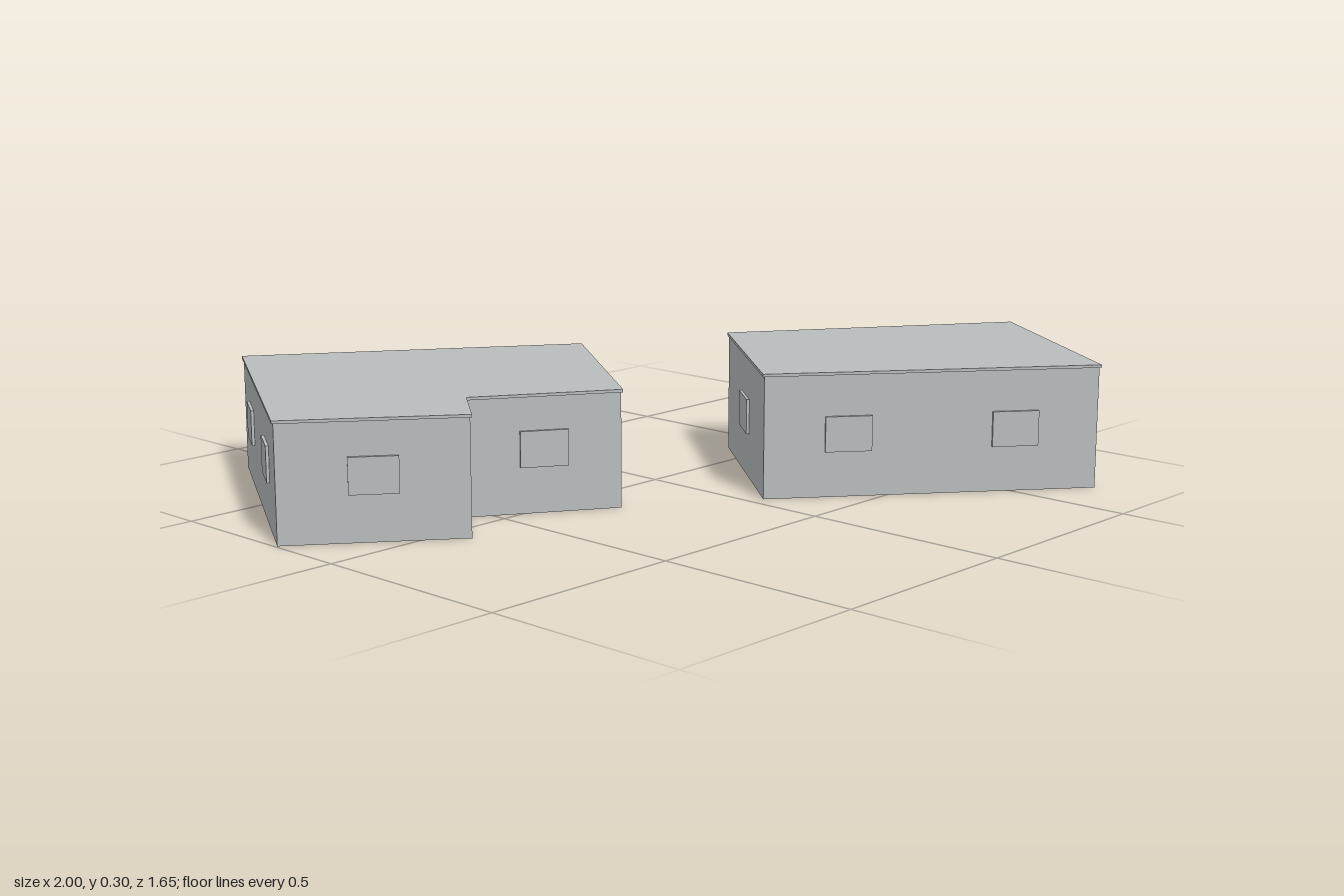
import * as THREE from 'three';

const grey = new THREE.MeshStandardMaterial({ color: 0xb8bcbc });
grey.name = 'plain grey';

const OVERHANG = 0.004, ROOF = 0.007;
const WIN_W = 0.112, WIN_H = 0.085, WIN_Y = 0.152, WIN_OUT = 0.007;

// Outlines as [x, z], with the window positions along the wall that starts at each corner
const houses = [
  {
    name: 'cornerHouse', height: 0.28,
    outline: [[-0.6, -0.83], [0.09, -0.34], [-0.245, 0.13], [-0.55, -0.065], [-0.66, 0.075], [-1, -0.19]],
    windows: [[0.25, 0.75], [0.5], [0.5], [], [0.5], [0.25, 0.75]],
  },
  {
    name: 'squareHouse', height: 0.3,
    outline: [[0.375, -0.1], [1, 0.335], [0.665, 0.825], [0.03, 0.315]],
    windows: [[0.25, 0.75], [0.5], [0.25, 0.75], [0.5]],
  },
];

// Flat prism standing on the given height
function prism(points, y, height, name) {
  const shape = new THREE.Shape(points.map(p => new THREE.Vector2(p.x, -p.y)));
  const geometry = new THREE.ExtrudeGeometry(shape, { depth: height, bevelEnabled: false });
  geometry.rotateX(-Math.PI / 2);
  const mesh = new THREE.Mesh(geometry, grey);
  mesh.position.y = y;
  mesh.name = name;
  return mesh;
}

// Outward normal of the wall from a to b
function wallNormal(a, b) {
  const d = b.clone().sub(a).normalize();
  return new THREE.Vector2(d.y, -d.x);
}

// Moves every wall of an outline inwards by the same distance
function inset(points, distance) {
  const n = points.length;
  return points.map((p, i) => {
    const before = wallNormal(points[(i + n - 1) % n], p);
    const after = wallNormal(p, points[(i + 1) % n]);
    const k = -distance / (1 + before.dot(after));
    return p.clone().addScaledVector(before.add(after), k);
  });
}

function createHouse({ name, height, outline, windows }) {
  const house = new THREE.Group();
  house.name = name;
  const eaves = outline.map(([x, z]) => new THREE.Vector2(x, z));
  const corners = inset(eaves, OVERHANG);
  house.add(prism(corners, 0, height - ROOF, 'walls'));
  house.add(prism(eaves, height - ROOF, ROOF, 'roof'));

  // Window plates standing slightly proud of the walls
  const plate = new THREE.BoxGeometry(WIN_W, WIN_H, WIN_OUT + 0.002);
  corners.forEach((a, i) => {
    const b = corners[(i + 1) % corners.length];
    const normal = wallNormal(a, b);
    for (const t of windows[i]) {
      const p = a.clone().lerp(b, t).addScaledVector(normal, (WIN_OUT - 0.002) / 2);
      const pane = new THREE.Mesh(plate, grey);
      pane.name = 'window';
      pane.position.set(p.x, WIN_Y, p.y);
      pane.rotation.y = Math.atan2(a.y - b.y, b.x - a.x);
      house.add(pane);
    }
  });
  return house;
}

export function createModel() {
  const model = new THREE.Group();
  model.name = 'houses';
  for (const house of houses) model.add(createHouse(house));
  return model;
}
